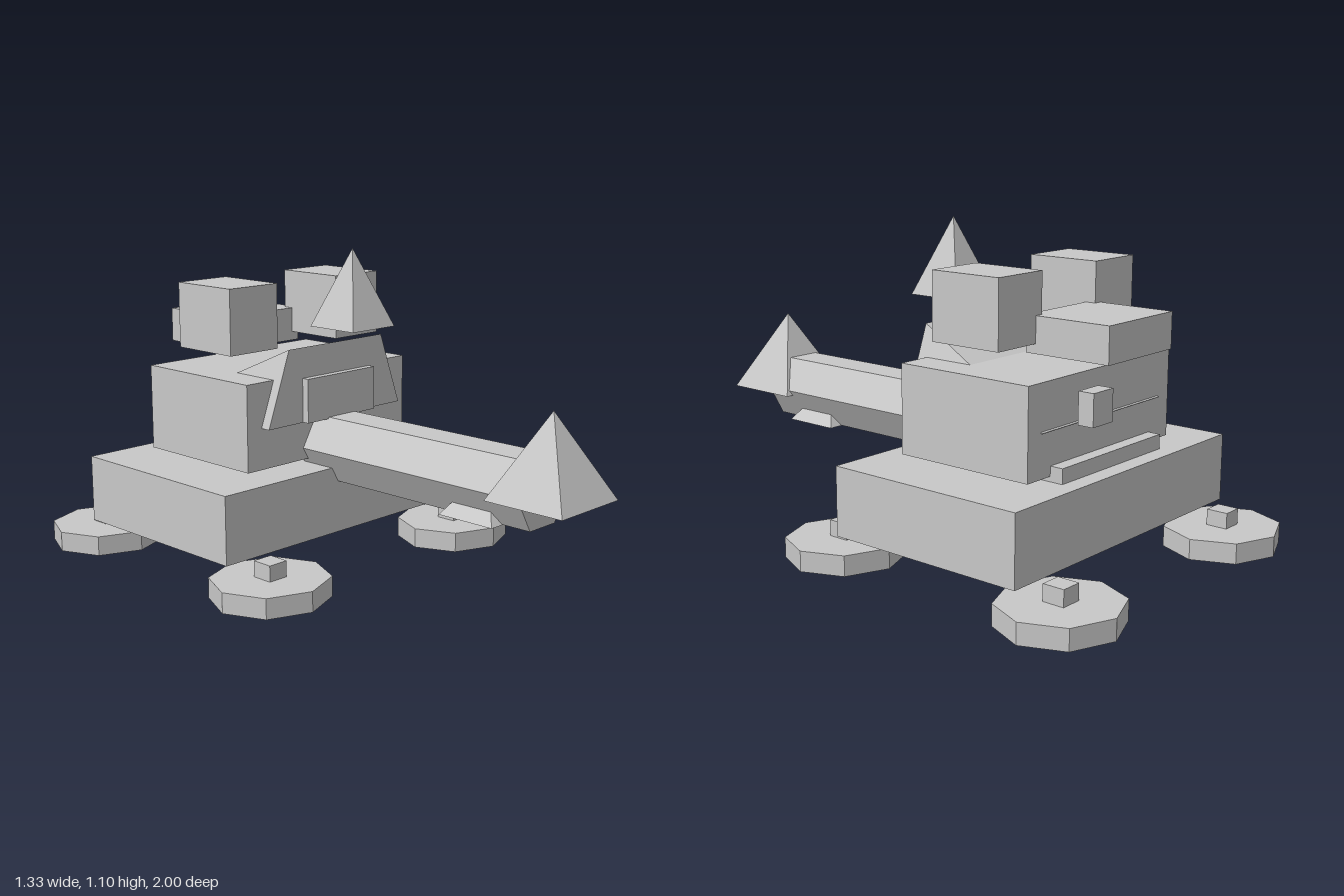
import * as THREE from 'three';

export function createModel() {
  const model = new THREE.Group();
  const grey = new THREE.MeshStandardMaterial({ color: 0xc8c8c8, flatShading: true });
  grey.name = 'light grey';

  const add = (name, geometry) => {
    const mesh = new THREE.Mesh(geometry, grey);
    mesh.name = name;
    model.add(mesh);
    return mesh;
  };
  // Box given by its limits on each axis
  const box = (name, x0, x1, y0, y1, z0, z1) =>
    add(name, new THREE.BoxGeometry(x1 - x0, y1 - y0, z1 - z0))
      .position.set((x0 + x1) / 2, (y0 + y1) / 2, (z0 + z1) / 2);
  // Square pyramid with sides parallel to the axes
  const pyramid = (name, halfX, halfZ, y0, y1, z) => {
    const g = new THREE.ConeGeometry(Math.SQRT2, y1 - y0, 4).rotateY(Math.PI / 4);
    add(name, g.scale(halfX, 1, halfZ)).position.set(0, (y0 + y1) / 2, z);
  };

  // Hull and turret
  box('hull', -0.577, 0.577, 0.115, 0.35, -0.725, 0.002);
  box('turretRing', -0.27, 0.27, 0.35, 0.4, -0.663, -0.455);
  box('turret', -0.383, 0.383, 0.367, 0.668, -0.617, -0.105);

  // Octagonal feet on short posts
  for (const side of [-1, 1]) {
    for (const z of [0.082, -0.803]) {
      const foot = add('foot', new THREE.CylinderGeometry(0.207, 0.207, 0.07, 8));
      foot.scale.z = 0.197 / 0.207;
      foot.position.set(side * 0.459, 0.035, z);
      const x = side * 0.459;
      box('footPost', x - 0.037, x + 0.037, 0.06, 0.125, z - 0.038, z + 0.038);
    }
  }

  // Wedge: a box whose top back edge is dropped to the bottom, top narrowed
  const wedge = new THREE.BoxGeometry(0.64, 0.26, 0.555);
  const p = wedge.attributes.position;
  for (let i = 0; i < p.count; i++) {
    if (p.getY(i) < 0) continue;
    if (p.getZ(i) > 0) p.setX(i, Math.sign(p.getX(i)) * 0.225);
    else p.setY(i, -0.128);
  }
  wedge.computeVertexNormals();
  add('frontWedge', wedge).position.set(0, 0.641, -0.3455);
  box('gunMantlet', -0.163, 0.163, 0.512, 0.665, -0.12, -0.042);

  // Six-sided barrel with its pyramids
  const barrel = add('barrel', new THREE.CylinderGeometry(0.127, 0.127, 0.96, 6).rotateY(Math.PI / 6).rotateX(Math.PI / 2).rotateZ(Math.PI / 6));
  // Flat faces up and down, corners to the sides
  barrel.geometry.dispose();
  barrel.geometry = new THREE.ExtrudeGeometry(
    new THREE.Shape(Array.from({ length: 6 }, (_, i) =>
      new THREE.Vector2(Math.cos(i * Math.PI / 3), Math.sin(i * Math.PI / 3)).multiplyScalar(0.127))),
    { depth: 0.96, bevelEnabled: false });
  barrel.position.set(0, 0.408, -0.135);
  pyramid('muzzlePyramid', 0.146, 0.146, 0.39, 0.672, 0.853);
  pyramid('barrelFoot', 0.118, 0.107, 0.297, 0.447, 0.612);
  pyramid('sightPyramid', 0.101, 0.101, 0.834, 1.1, 0.009);

  // Blocks on top and behind
  for (const s of [-1, 1]) box('topBlock', s * 0.25 - 0.107, s * 0.25 + 0.107, 0.747, 0.974, -0.48, -0.213);
  box('rearBlock', -0.173, 0.173, 0.715, 0.836, -0.755, -0.442);
  box('rearLamp', 0.12, 0.222, 0.53, 0.636, -0.738, -0.682);

  return model;
}
